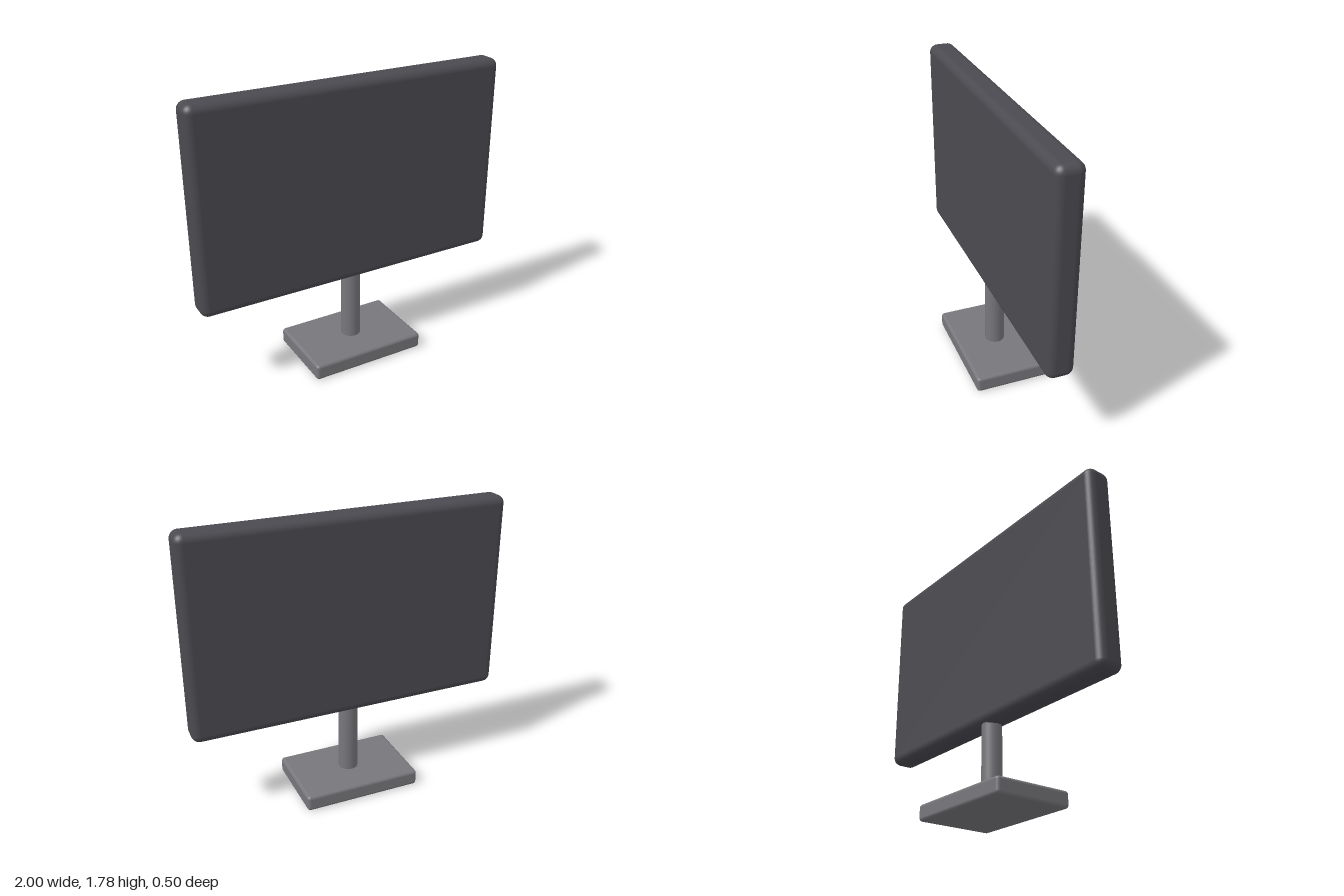
import * as THREE from 'three';
import { RoundedBoxGeometry } from 'three/addons/geometries/RoundedBoxGeometry.js';

export function createModel() {
  const model = new THREE.Group();
  model.name = 'monitor';

  const dark = new THREE.MeshStandardMaterial({ color: 0x4a4a50 });
  const grey = new THREE.MeshStandardMaterial({ color: 0x77767b });

  const add = (name, geometry, material, y) => {
    const mesh = new THREE.Mesh(geometry, material);
    mesh.name = name;
    mesh.position.y = y;
    model.add(mesh);
  };

  // Display slab with softly rounded edges
  add('screen', new RoundedBoxGeometry(2, 1.25, 0.165, 5, 0.05), dark, 1.157);

  // Round post, its ends sunk slightly into the screen and the base
  add('neck', new THREE.CylinderGeometry(0.061, 0.061, 0.48, 32), grey, 0.31);

  // Flat foot
  add('base', new RoundedBoxGeometry(0.745, 0.1, 0.5, 4, 0.02), grey, 0.05);

  return model;
}
